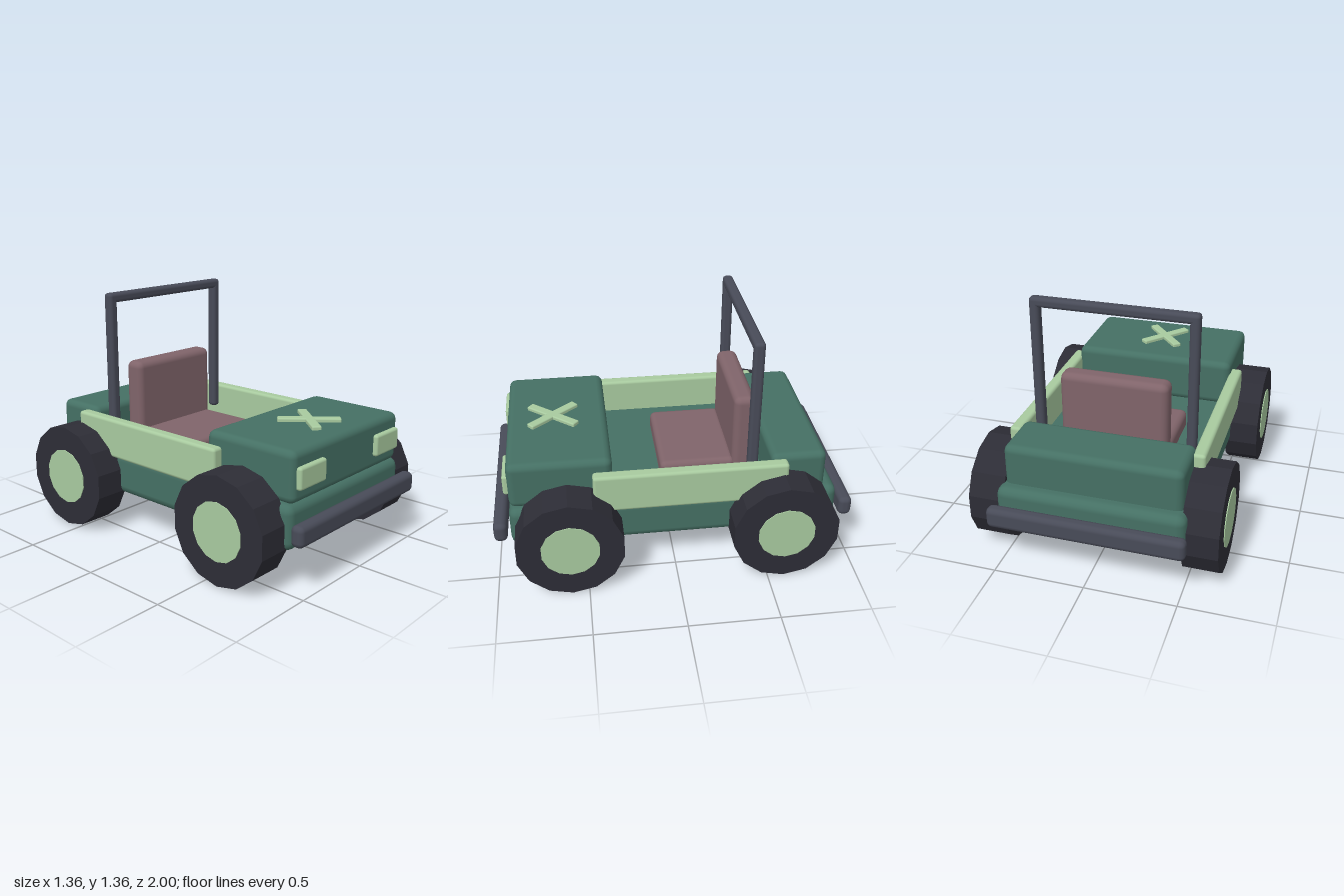
import * as THREE from 'three';
import { RoundedBoxGeometry } from 'three/addons/geometries/RoundedBoxGeometry.js';

export function createModel() {
  const model = new THREE.Group();
  model.name = 'openTruck';

  const paint = (name, color) => {
    const m = new THREE.MeshStandardMaterial({ color });
    m.name = name;
    return m;
  };
  const green = paint('bodyGreen', 0x457064);
  const light = paint('paleGreen', 0xa8ca9f);
  const metal = paint('darkMetal', 0x484b58);
  const rubber = paint('tyreRubber', 0x2d2d36);
  const leather = paint('seatLeather', 0x80646a);

  // Bevelled box given by its limits on each axis
  const box = (name, mat, [x0, x1], [y0, y1], [z0, z1], bevel) => {
    const geo = new RoundedBoxGeometry(x1 - x0, y1 - y0, z1 - z0, 2, bevel);
    const mesh = new THREE.Mesh(geo, mat);
    mesh.name = name;
    mesh.position.set((x0 + x1) / 2, (y0 + y1) / 2, (z0 + z1) / 2);
    model.add(mesh);
    return mesh;
  };
  // Limits mirrored to the chosen side
  const span = (side, a, b) => (side > 0 ? [a, b] : [-b, -a]);

  // Body
  box('chassis', green, [-0.51, 0.51], [0.215, 0.46], [-0.91, 0.91], 0.05);
  box('hood', green, [-0.48, 0.48], [0.455, 0.73], [0.34, 0.905], 0.04);
  box('rearDeck', green, [-0.48, 0.48], [0.42, 0.68], [-0.84, -0.53], 0.04);

  // Seat
  box('seatBase', leather, [-0.29, 0.29], [0.42, 0.55], [-0.37, 0.06], 0.035);
  box('seatBack', leather, [-0.3, 0.3], [0.44, 0.945], [-0.467, -0.347], 0.04);

  // Roll bar
  box('rollBarTop', metal, [-0.455, 0.455], [1.3, 1.355], [-0.46, -0.4], 0.02);

  const sides = { left: 1, right: -1 };
  for (const [label, s] of Object.entries(sides)) {
    box(label + 'RollBarPost', metal, span(s, 0.4, 0.455), [0.53, 1.355], [-0.46, -0.4], 0.02);
    box(label + 'SidePanel', light, span(s, 0.47, 0.54), [0.435, 0.66], [-0.615, 0.45], 0.018);
    box(label + 'Headlight', light, span(s, 0.23, 0.45), [0.53, 0.65], [0.87, 0.93], 0.015);
  }

  // Bumpers
  for (const [label, s] of [['front', 1], ['rear', -1]]) {
    box(label + 'Bumper', metal, [-0.53, 0.53], [0.27, 0.385], span(s, 0.925, 1), 0.03);
  }

  // Crossed strips on the hood
  for (const s of [1, -1]) {
    const strip = box('hoodStrip', light, [-0.026, 0.026], [0.72, 0.75], [0.475, 0.815], 0.008);
    strip.rotation.y = s * 0.7;
  }

  // Wheels
  const disc = (name, mat, r, width) => {
    const geo = new THREE.CylinderGeometry(r, r, width, 14).toNonIndexed();
    geo.rotateZ(Math.PI / 2);
    // one vertex of the outline at the very bottom
    geo.computeVertexNormals();
    const mesh = new THREE.Mesh(geo, mat);
    mesh.name = name;
    return mesh;
  };
  const bottomUp = Math.PI / 2;
  for (const [sideName, sx] of Object.entries(sides)) {
    for (const [endName, sz] of [['Front', 1], ['Rear', -1]]) {
      const wheel = new THREE.Group();
      wheel.name = sideName + endName + 'Wheel';
      wheel.add(disc('tyre', rubber, 0.297, 0.195), disc('hub', light, 0.16, 0.205));
      wheel.position.set(sx * 0.578, 0.297, sz * 0.59);
      wheel.rotation.x = bottomUp;
      model.add(wheel);
    }
  }

  return model;
}
